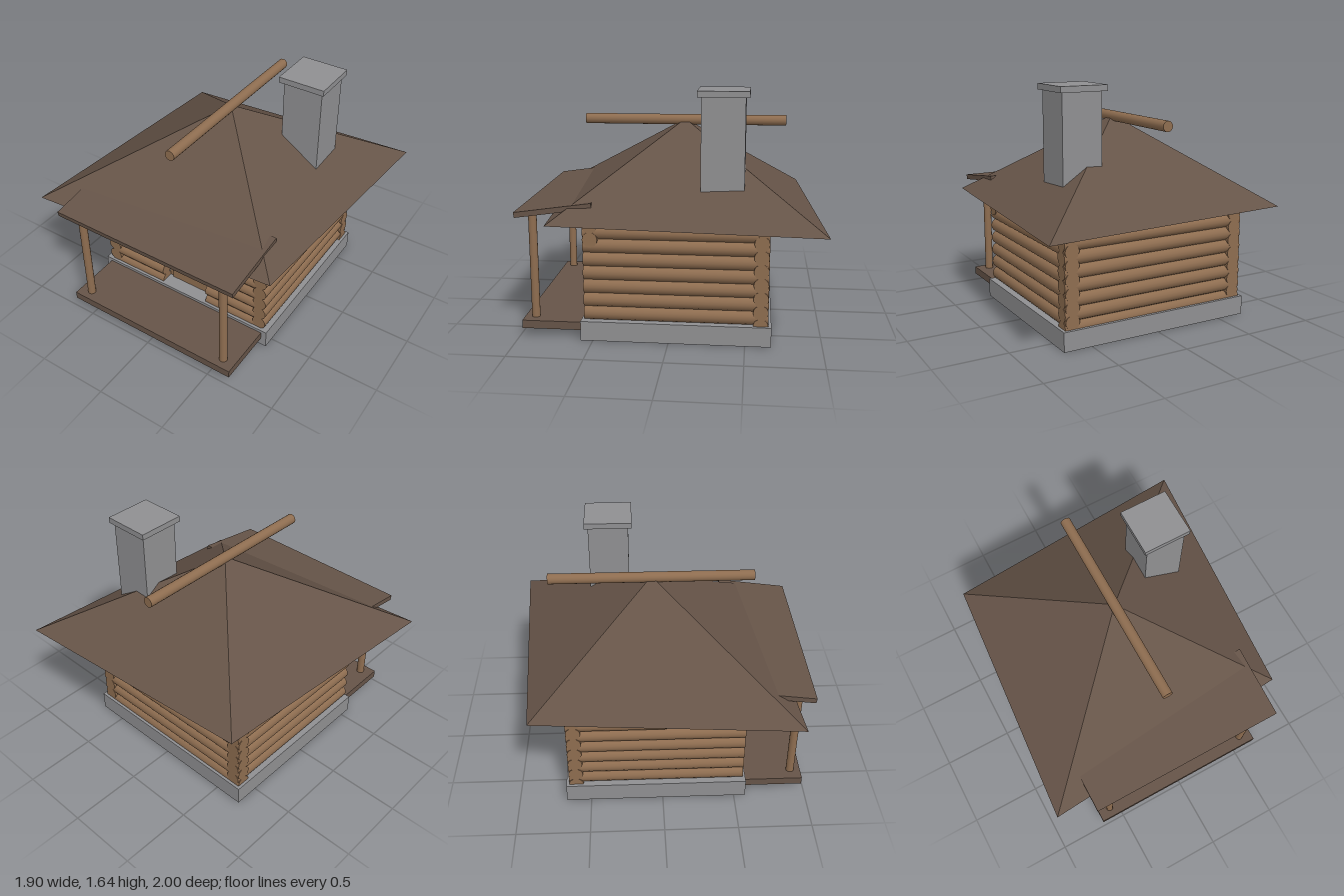
import * as THREE from 'three';

export function createModel() {
  const model = new THREE.Group();
  model.name = 'logCabin';

  const wood = new THREE.MeshStandardMaterial({ color: 0x8e6d50 });
  wood.name = 'log wood';
  const brown = new THREE.MeshStandardMaterial({ color: 0x665448 });
  brown.name = 'roof brown';
  const stone = new THREE.MeshStandardMaterial({ color: 0x909092 });
  stone.name = 'stone grey';

  const add = (name, geometry, material, x, y, z) => {
    const mesh = new THREE.Mesh(geometry, material);
    mesh.name = name;
    mesh.position.set(x, y, z);
    model.add(mesh);
    return mesh;
  };
  const box = (name, material, w, h, d, x, y, z) =>
    add(name, new THREE.BoxGeometry(w, h, d), material, x, y, z);

  // Round beams along x or z, given by their two ends
  const beamX = (name, r, x0, x1, y, z) =>
    add(name, new THREE.CylinderGeometry(r, r, x1 - x0, 16).rotateZ(Math.PI / 2), wood, (x0 + x1) / 2, y, z);
  const beamZ = (name, r, z0, z1, x, y) =>
    add(name, new THREE.CylinderGeometry(r, r, z1 - z0, 16).rotateX(Math.PI / 2), wood, x, y, (z0 + z1) / 2);

  // Foundation
  box('foundation', stone, 1.4, 0.132, 1.25, 0, 0.066, -0.045);

  // Log walls: side rows sit half a log higher than front and back rows
  const r = 0.05, step = 0.092;
  for (let i = 0; i < 8; i++) {
    const y = 0.132 + i * step;
    for (const s of [-1, 1]) beamZ('sideLog', r, -0.65, 0.56, s * 0.627, y + step / 2);
    beamX('backLog', r, -0.68, 0.68, y, -0.6);
    if (i > 5) {
      beamX('frontLog', r, -0.68, 0.68, y, 0.51);
    } else {
      beamX('frontLogRight', r, -0.62, -0.185, y, 0.51);
      beamX('frontLogLeft', r, 0.185, 0.62, y, 0.51);
    }
  }

  // Recessed door with frame and knob
  box('doorFrame', wood, 0.38, 0.52, 0.03, 0, 0.385, 0.455);
  box('door', wood, 0.31, 0.51, 0.03, 0, 0.385, 0.465);
  add('doorKnob', new THREE.SphereGeometry(0.015, 12, 8), wood, 0.11, 0.39, 0.49);

  // Skewed pyramid roof: diagonals of different length
  const roof = new THREE.ConeGeometry(1, 0.585, 4)
    .scale(1.16, 1, 1.343)
    .rotateY(-Math.PI / 4)
    .toNonIndexed();
  roof.computeVertexNormals();
  add('roof', roof, brown, 0, 0.805 + 0.2925, -0.05);
  beamZ('ridgeBeam', 0.036, -0.75, 0.65, 0, 1.385);

  // Chimney
  box('chimney', stone, 0.28, 0.66, 0.28, 0.46, 1.27, -0.34);
  box('chimneyCap', stone, 0.33, 0.04, 0.33, 0.457, 1.62, -0.34);

  // Porch
  box('porchDeck', brown, 1.32, 0.055, 0.41, 0, 0.083, 0.777);
  for (const s of [-1, 1]) {
    add('porchPost', new THREE.CylinderGeometry(0.028, 0.028, 0.74, 16), wood, s * 0.57, 0.475, 0.91);
  }
  box('porchRoof', brown, 1.395, 0.036, 0.512, 0, 0.877, 0.745).rotation.x = 0.14;

  return model;
}
